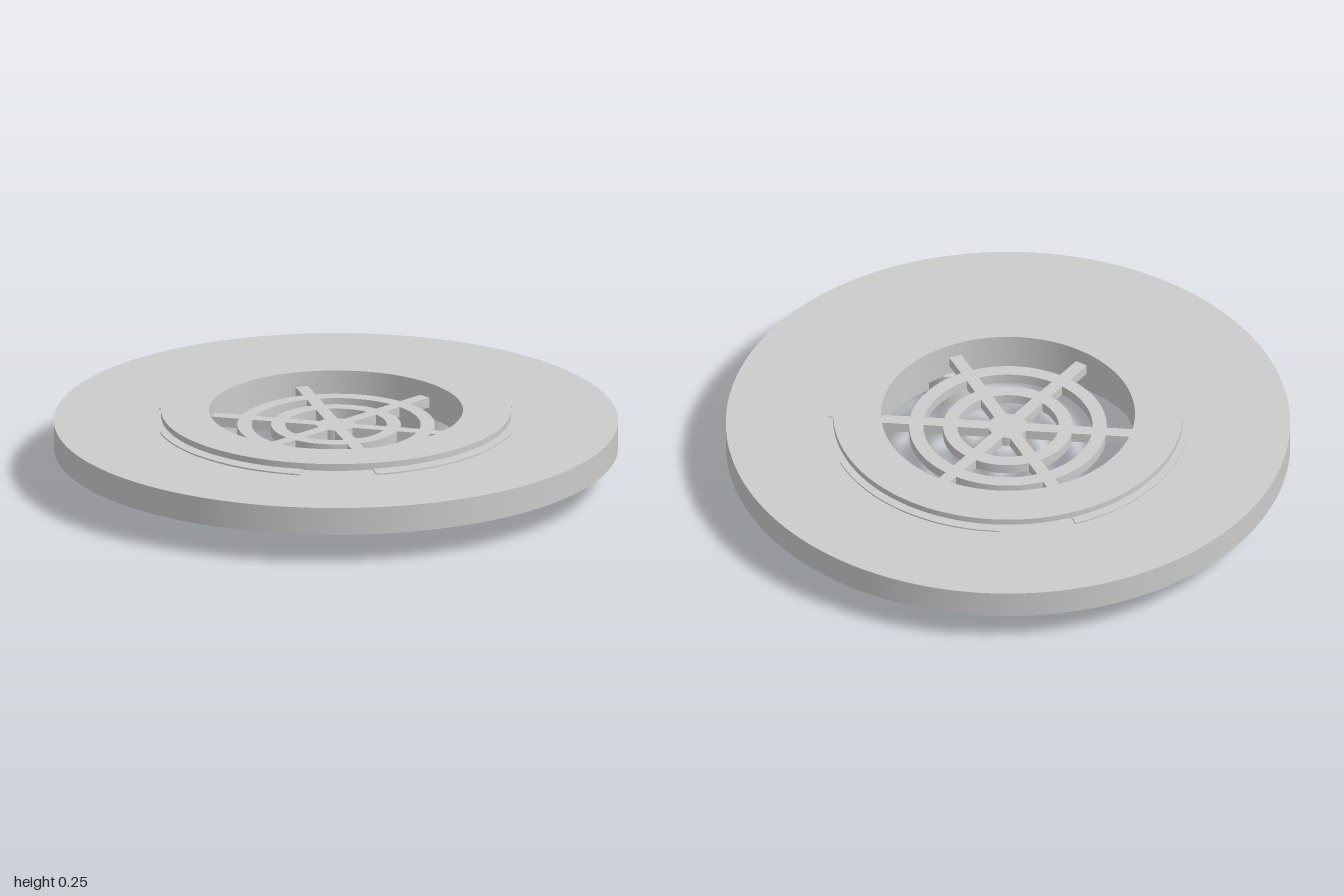
import * as THREE from 'three';
import { toCreasedNormals } from 'three/addons/utils/BufferGeometryUtils.js';

const mat = new THREE.MeshStandardMaterial({ color: 0xcccccc });
const TAU = Math.PI * 2;

export function createModel() {
  const model = new THREE.Group();

  function add(name, geometry) {
    const mesh = new THREE.Mesh(geometry, mat);
    mesh.name = name;
    model.add(mesh);
    return mesh;
  }

  // Extrude a plan shape upwards from y0 to y1
  function slab(name, shape, y0, y1, segments = 48) {
    let g = new THREE.ExtrudeGeometry(shape, { depth: y1 - y0, bevelEnabled: false, curveSegments: segments });
    g.rotateX(-Math.PI / 2).translate(0, y0, 0);
    return add(name, toCreasedNormals(g, 0.6));
  }

  // Full flat ring, optionally off centre
  function ring(name, inner, outer, y0, y1, x = 0, z = 0, segments = 96) {
    const s = new THREE.Shape().absarc(x, -z, outer, 0, TAU, false);
    if (inner > 0) s.holes.push(new THREE.Path().absarc(x, -z, inner, 0, TAU, true));
    return slab(name, s, y0, y1, segments);
  }

  // Part of a ring between two angles
  function arc(name, inner, outer, a0, a1, y0, y1) {
    const s = new THREE.Shape();
    s.absarc(0, 0, outer, a0, a1, false);
    s.absarc(0, 0, inner, a1, a0, true);
    s.closePath();
    return slab(name, s, y0, y1, 32);
  }

  // Wide plate, and the insert's collar and top flange
  ring('plate', 0.575, 1, 0.11, 0.21);
  ring('collar', 0.45, 0.53, 0.12, 0.23);
  ring('topFlange', 0.45, 0.62, 0.228, 0.25);

  // Four low locking ramps around the flange
  for (let i = 0; i < 4; i++) {
    const c = i * Math.PI / 2;
    arc('lockingRamp', 0.57, 0.64, c - 0.57, c + 0.57, 0.2, 0.215);
  }

  // Grille: two rings and three full-width bars crossing at the centre
  ring('grilleInnerRing', 0.18, 0.23, 0.16, 0.196);
  ring('grilleOuterRing', 0.3, 0.35, 0.16, 0.196);
  for (let i = 0; i < 3; i++) {
    const bar = add('grilleBar', new THREE.BoxGeometry(0.92, 0.036, 0.046));
    bar.position.y = 0.178;
    bar.rotation.y = i * Math.PI / 3;
  }
  ring('grilleHub', 0, 0.07, 0.16, 0.196);

  // Lower ring in three arcs, with a screw boss at each joint
  for (let i = 0; i < 3; i++) {
    const a = i * TAU / 3;
    const x = 0.515 * Math.cos(a), z = -0.515 * Math.sin(a);
    arc('lowerRing', 0.495, 0.57, a + 0.13, a + TAU / 3 - 0.13, 0.045, 0.093);
    ring('screwBoss', 0.05, 0.088, 0, 0.125, x, z, 24);
    ring('bossPlug', 0, 0.052, 0.1, 0.125, x, z, 24);

    // Rounded spacers between the lower ring and the collar
    for (let k = 1; k < 8; k++) {
      const t = a + k * TAU / 24;
      const spacer = add('spacer', new THREE.CylinderGeometry(0.038, 0.038, 0.04, 16));
      spacer.position.set(0.532 * Math.cos(t), 0.11, -0.532 * Math.sin(t));
    }
  }

  return model;
}
